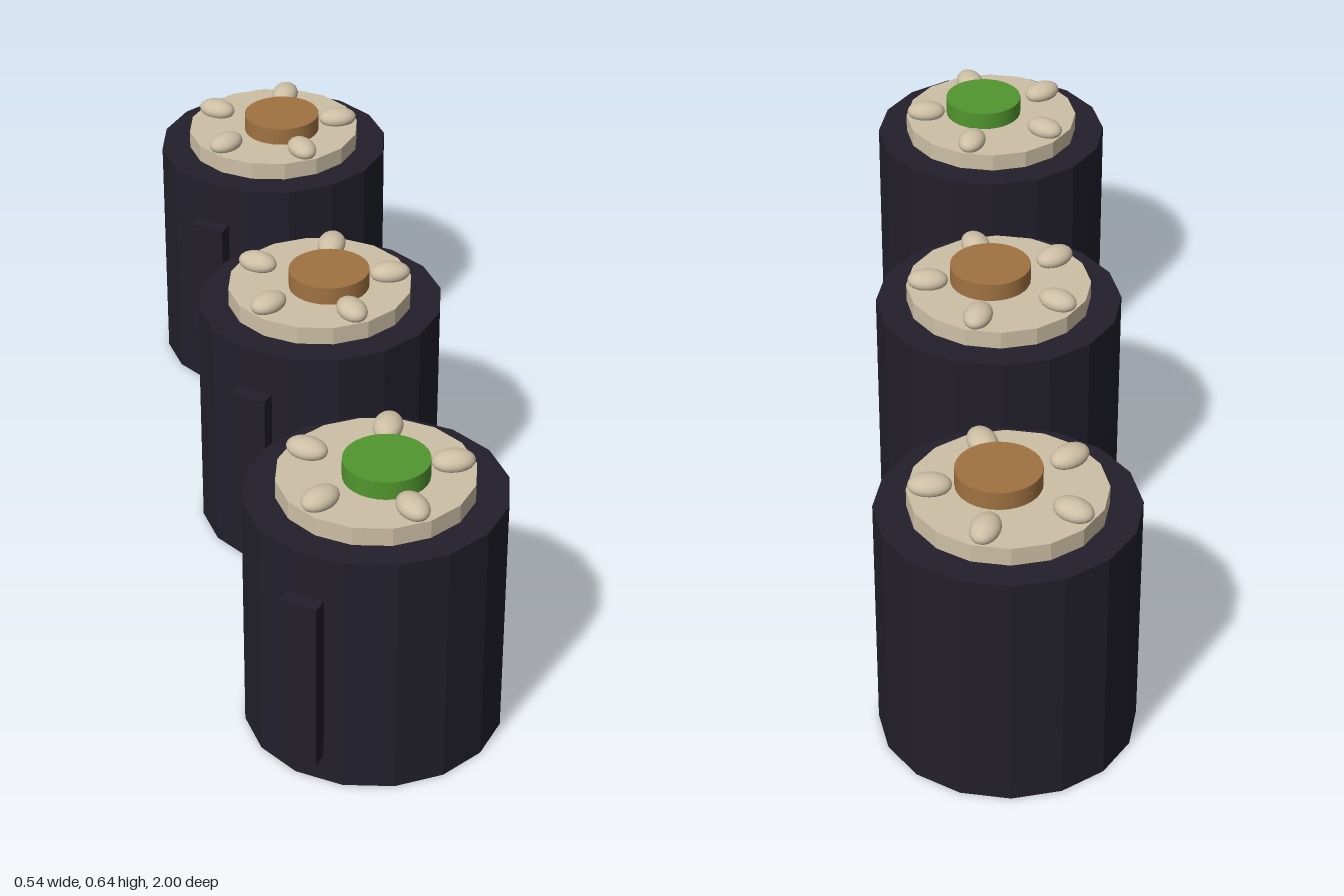
import * as THREE from 'three';

const material = (color, flatShading = false) => new THREE.MeshStandardMaterial({ color, flatShading });

function addMesh(parent, name, geometry, mat, x, y, z) {
  const mesh = new THREE.Mesh(geometry, mat);
  mesh.name = name;
  mesh.position.set(x, y, z);
  parent.add(mesh);
  return mesh;
}

export function createModel() {
  const model = new THREE.Group();
  model.name = 'canisterRow';

  const dark = material(0x221f2b, true);
  const cream = material(0xcdbfa5, true);
  const beadCream = material(0xcdbfa5);
  const green = material(0x52962f);
  const brown = material(0xa07342);

  // Canisters are slightly squashed front to back
  const DEPTH = 0.957;
  const bodyGeo = new THREE.CylinderGeometry(0.271, 0.271, 0.556, 16).scale(1, 1, DEPTH);
  const lidGeo = new THREE.CylinderGeometry(0.2035, 0.2035, 0.042, 16).scale(1, 1, DEPTH);
  const buttonGeo = new THREE.CylinderGeometry(0.089, 0.089, 0.05, 32).scale(1, 1, DEPTH);
  const beadGeo = new THREE.SphereGeometry(1, 20, 14).scale(0.045, 0.023, 0.031);
  const tabGeo = new THREE.BoxGeometry(0.079, 0.391, 0.08);

  [[-0.74, brown], [0, brown], [0.74, green]].forEach(([z, buttonMat]) => {
    const canister = new THREE.Group();
    canister.name = 'canister';
    canister.position.z = z;
    model.add(canister);

    addMesh(canister, 'body', bodyGeo, dark, 0, 0.278, 0);
    addMesh(canister, 'lid', lidGeo, cream, 0, 0.576, 0);
    addMesh(canister, 'button', buttonGeo, buttonMat, 0.018, 0.613, 0.014);

    // Upright tab on the front right side
    const tab = addMesh(canister, 'sideTab', tabGeo, dark, -0.168, 0.2595, 0.19);
    tab.rotation.y = -0.61;

    // Ring of five beads pointing outwards
    for (let i = 0; i < 5; i++) {
      const a = (i / 5) * Math.PI * 2;
      const bead = addMesh(canister, 'bead', beadGeo, beadCream,
        0.156 * Math.cos(a), 0.608, 0.156 * DEPTH * Math.sin(a));
      bead.rotation.y = -a;
    }
  });

  return model;
}
